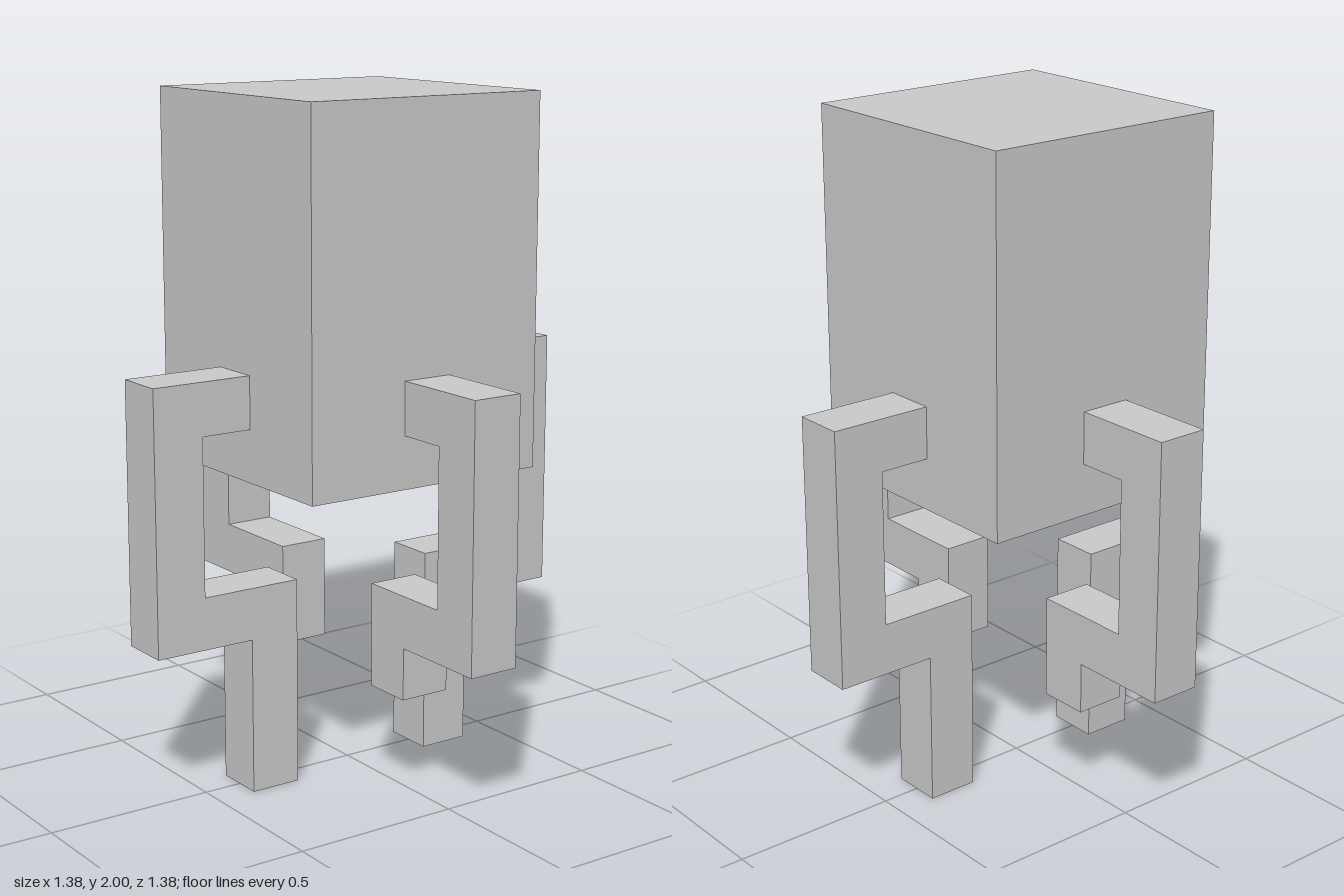
import * as THREE from 'three';

const U = 2 / 26; // one block unit
const material = new THREE.MeshStandardMaterial({ color: 0xcccccc, flatShading: true });

// Bent tentacle drawn in the xy plane, reaching out along +x; tip is the height of its lower end
function tentacle(name, tip, angle) {
  const outline = [
    [5, 16], [5, 14], [7, 14], [7, 8], [3, 8], [3, tip],
    [5, tip], [5, 6], [9, 6], [9, 16],
  ].map(([x, y]) => new THREE.Vector2(x * U, y * U));
  const geometry = new THREE.ExtrudeGeometry(new THREE.Shape(outline), { depth: 2 * U, bevelEnabled: false });
  geometry.translate(0, 0, -U);
  const mesh = new THREE.Mesh(geometry, material);
  mesh.name = name;
  mesh.rotation.y = angle;
  return mesh;
}

export function createModel() {
  const model = new THREE.Group();
  model.name = 'tentacledCreature';

  // Block body
  const body = new THREE.Mesh(new THREE.BoxGeometry(10 * U, 14 * U, 10 * U), material);
  body.name = 'body';
  body.position.y = 19 * U;
  model.add(body);

  // Four tentacles: the side pair reaches the ground, the front and back pair is shorter
  ['leftTentacle', 'backTentacle', 'rightTentacle', 'frontTentacle'].forEach((name, i) => {
    model.add(tentacle(name, i % 2 ? 4 : 0, (i * Math.PI) / 2));
  });

  return model;
}
